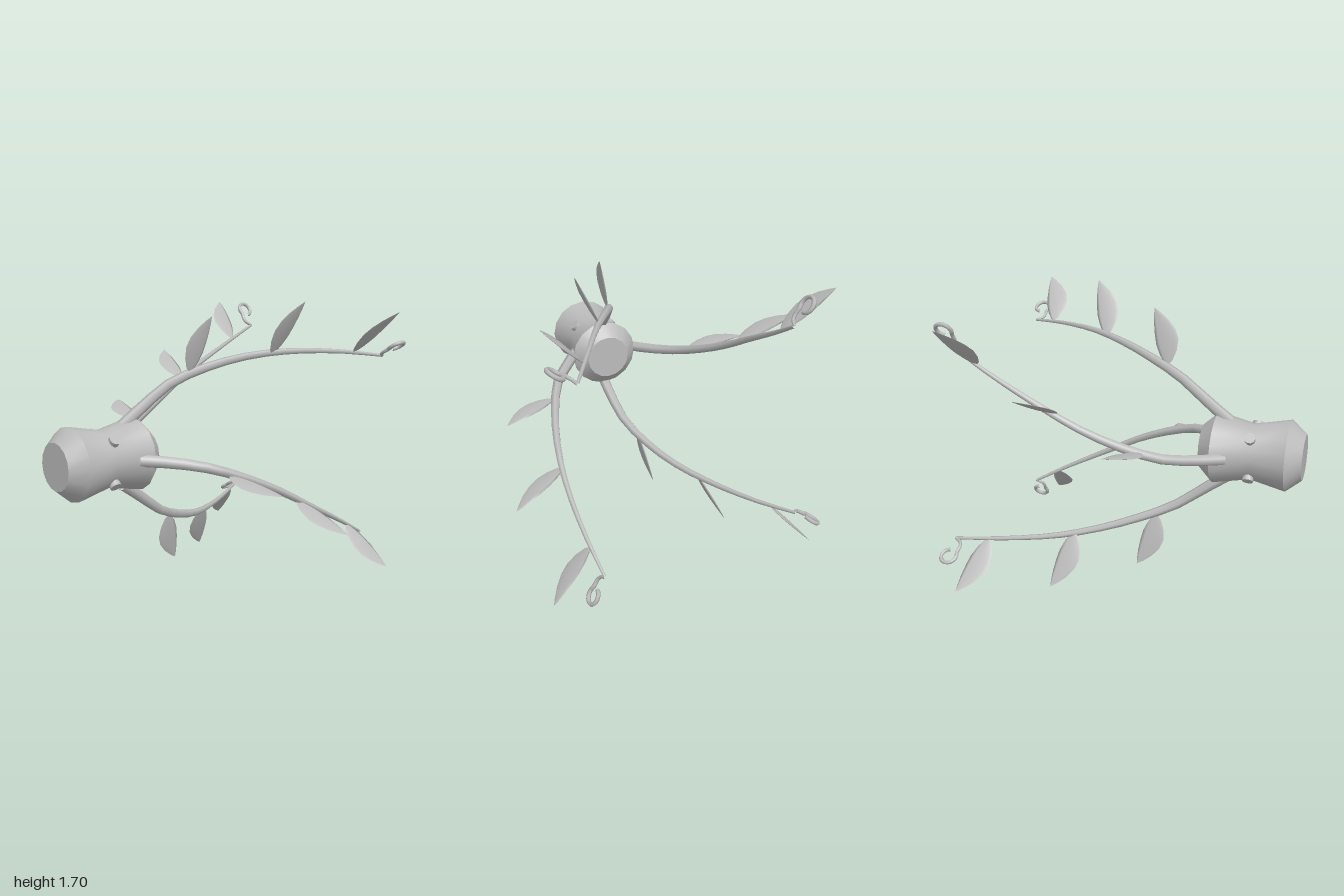
import * as THREE from 'three';
import { toCreasedNormals } from 'three/addons/utils/BufferGeometryUtils.js';

const V = (x, y, z) => new THREE.Vector3(x, y, z);
const grey = new THREE.MeshStandardMaterial({ color: 0xbbbbbb });
grey.name = 'grey';

function mesh(name, geometry) {
  const m = new THREE.Mesh(geometry, grey);
  m.name = name;
  return m;
}

// Tube whose rings are scaled so the radius follows radiusAt(t)
function taperedTube(points, segments, sides, radiusAt) {
  const curve = new THREE.CatmullRomCurve3(points);
  const geo = new THREE.TubeGeometry(curve, segments, 1, sides);
  const pos = geo.attributes.position, v = V(0, 0, 0);
  for (let i = 0; i <= segments; i++) {
    const c = curve.getPointAt(i / segments), r = radiusAt(i / segments);
    for (let j = 0; j <= sides; j++) {
      const k = i * (sides + 1) + j;
      v.fromBufferAttribute(pos, k).sub(c).multiplyScalar(r).add(c);
      pos.setXYZ(k, v.x, v.y, v.z);
    }
  }
  return geo;
}

// Flattened spindle from base to tip, bowed forward along its width
function leafGeometry(base, tip) {
  const axis = tip.clone().sub(base), length = axis.length();
  axis.normalize();
  const profile = [[0, 0], [0.028, 0.06], [0.054, 0.2], [0.07, 0.38], [0.066, 0.55],
    [0.047, 0.74], [0.021, 0.9], [0, 1]].map(([r, t]) => new THREE.Vector2(r, t * length));
  const geo = new THREE.LatheGeometry(profile, 8);
  geo.rotateY(Math.PI / 2);
  geo.scale(1, 1, 0.11);
  const pos = geo.attributes.position;
  for (let i = 0; i < pos.count; i++) {
    pos.setX(i, pos.getX(i) + 0.028 * Math.sin(Math.PI * pos.getY(i) / length));
  }
  const wide = V(0, 0, 1).addScaledVector(axis, -axis.z).normalize();
  const thick = wide.clone().cross(axis);
  geo.applyMatrix4(new THREE.Matrix4().makeBasis(wide, axis, thick).setPosition(base));
  geo.computeVertexNormals();
  return geo;
}

function createArm() {
  const arm = new THREE.Group();
  arm.name = 'vineArm';

  // Curved stem
  const stem = [V(0, 0.17, 0.56), V(0.015, 0.27, 0.42), V(0.05, 0.39, 0.25), V(0.13, 0.475, 0.035),
    V(0.23, 0.53, -0.18), V(0.36, 0.555, -0.42), V(0.51, 0.545, -0.71), V(0.635, 0.515, -0.94)];
  arm.add(mesh('stem', taperedTube(stem, 14, 6, t => 0.036 - 0.027 * t)));

  // Three leaves
  const leaves = [
    [V(0.1, 0.45, 0.15), V(0.175, 0.77, 0.04)],
    [V(0.31, 0.54, -0.31), V(0.47, 0.85, -0.42)],
    [V(0.55, 0.54, -0.77), V(0.79, 0.785, -0.885)],
  ];
  for (const [base, tip] of leaves) arm.add(mesh('leaf', leafGeometry(base, tip)));

  // Curled tendril, lying in a plane that holds the z axis
  const at = (u, z) => V(0.635 + 0.85 * u, 0.515 + 0.53 * u, z);
  const curl = [at(0, -0.945), at(0.025, -0.905), at(0.055, -0.895)];
  for (let i = 0; i <= 9; i++) {
    const a = THREE.MathUtils.degToRad(-35 + i * 34), r = 0.053 - 0.0015 * i;
    curl.push(at(0.122 + r * Math.sin(a), -0.942 + r * Math.cos(a)));
  }
  arm.add(mesh('tendril', taperedTube(curl, 24, 6, t => 0.008 + 0.004 * Math.min(1, t * 3))));
  return arm;
}

export function createModel() {
  const model = new THREE.Group();
  model.name = 'vineHub';
  const hub = new THREE.Group();
  hub.name = 'hub';
  hub.position.y = 0.855;
  model.add(hub);

  // Waisted body, its axis along z
  const profile = [[0, 0.4], [0.135, 0.4], [0.21, 0.48], [0.165, 0.7], [0.21, 0.91], [0.135, 1], [0, 1]]
    .map(([r, z]) => new THREE.Vector2(r, z));
  const body = new THREE.LatheGeometry(profile, 16);
  body.rotateX(Math.PI / 2);
  hub.add(mesh('body', toCreasedNormals(body, 0.6)));

  // Four arms and four studs around the axis
  for (let i = 0; i < 4; i++) {
    const arm = createArm();
    arm.rotation.z = -i * Math.PI / 2;
    hub.add(arm);

    const a = Math.PI / 4 + i * Math.PI / 2;
    const stud = mesh('stud', toCreasedNormals(new THREE.CylinderGeometry(0.033, 0.033, 0.08, 10), 0.7));
    stud.position.set(0.15 * Math.cos(a), 0.15 * Math.sin(a), 0.7);
    stud.rotation.z = a - Math.PI / 2;
    hub.add(stud);
  }
  return model;
}
